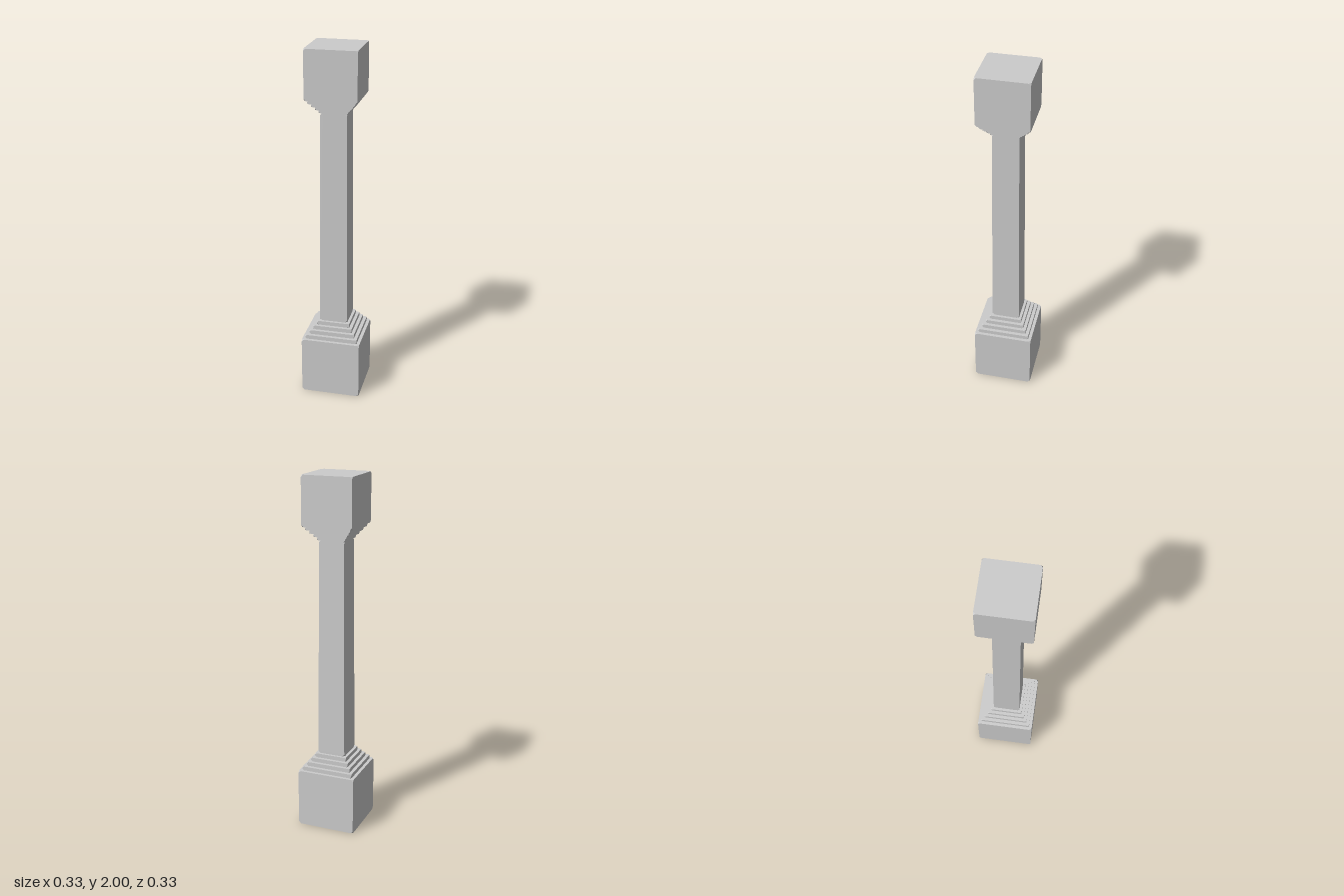
import * as THREE from 'three';
import { ConvexGeometry } from 'three/addons/geometries/ConvexGeometry.js';

const stone = new THREE.MeshStandardMaterial({ color: 0xcccccc, flatShading: true });

// Square block with its eight corners clipped; half widths may differ to give a taper
function clippedBlock(name, y0, y1, half0, half1 = half0, cut = 0.012) {
  const points = [];
  for (const [y, half, inward] of [[y0, half0, 1], [y1, half1, -1]]) {
    for (const sx of [-1, 1]) {
      for (const sz of [-1, 1]) {
        points.push(
          new THREE.Vector3(sx * (half - cut), y, sz * half),
          new THREE.Vector3(sx * half, y, sz * (half - cut)),
          new THREE.Vector3(sx * half, y + inward * cut, sz * half)
        );
      }
    }
  }
  const mesh = new THREE.Mesh(new ConvexGeometry(points), stone);
  mesh.name = name;
  return mesh;
}

// Stack of thin stepped slabs, listed from bottom to top by half width
function steps(name, y0, y1, halves) {
  const group = new THREE.Group();
  group.name = name;
  const h = (y1 - y0) / halves.length;
  halves.forEach((half, i) => {
    group.add(clippedBlock(`${name}Slab${i + 1}`, y0 + i * h, y0 + (i + 1) * h, half, half, 0.008));
  });
  return group;
}

export function createModel() {
  const column = new THREE.Group();
  column.name = 'column';
  column.add(
    clippedBlock('base', 0, 0.333, 0.167, 0.167, 0.013),
    steps('baseSteps', 0.333, 0.425, [0.149, 0.13, 0.112, 0.094]),
    // Gently tapering shaft
    clippedBlock('shaft', 0.425, 1.652, 0.079, 0.072),
    steps('capitalSteps', 1.652, 1.728, [0.08, 0.095, 0.111, 0.127]),
    clippedBlock('capital', 1.728, 2, 0.142, 0.142, 0.012)
  );
  return column;
}
